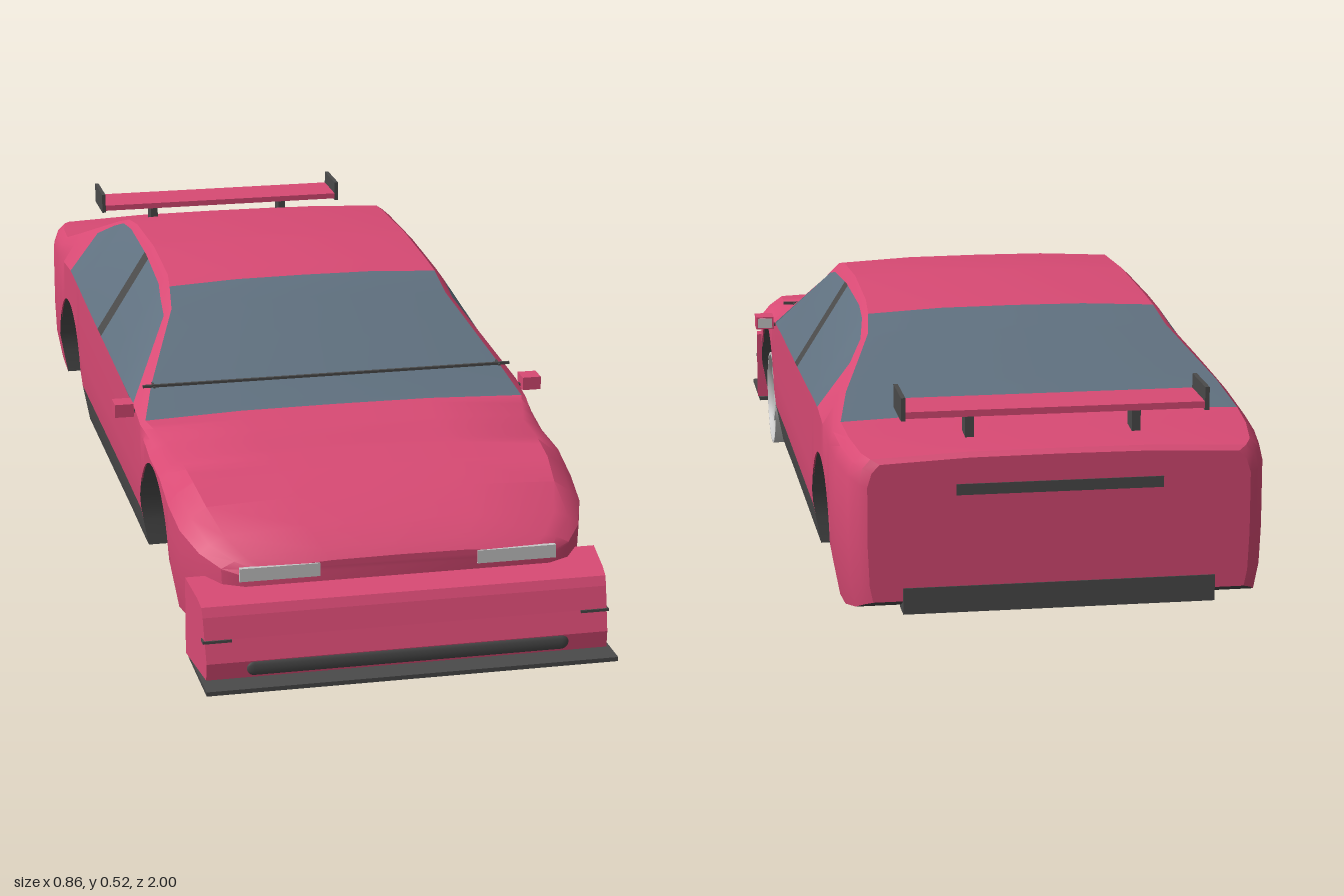
import * as THREE from 'three';
import { toCreasedNormals } from 'three/addons/utils/BufferGeometryUtils.js';

const material = (name, color) => {
  const m = new THREE.MeshStandardMaterial({ color });
  m.name = name;
  return m;
};

// Body stations: z, half width, top y, roof/hood edge x, window bottom y, window top y
const STATIONS = [
  [0.872, 0.285, 0.208, 0.25, 0.188, 0.198], [0.855, 0.325, 0.226, 0.28, 0.2, 0.212],
  [0.81, 0.357, 0.252, 0.31, 0.215, 0.23], [0.74, 0.38, 0.285, 0.33, 0.235, 0.257],
  [0.66, 0.387, 0.306, 0.34, 0.255, 0.278], [0.57, 0.388, 0.315, 0.345, 0.278, 0.292],
  [0.46, 0.388, 0.312, 0.35, 0.28, 0.293], [0.35, 0.388, 0.325, 0.377, 0.3, 0.31],
  [0.27, 0.388, 0.368, 0.352, 0.323, 0.326], [0.11, 0.387, 0.474, 0.282, 0.328, 0.453],
  [0.05, 0.387, 0.503, 0.275, 0.33, 0.475], [0, 0.387, 0.514, 0.27, 0.332, 0.487],
  [-0.18, 0.387, 0.524, 0.268, 0.338, 0.5], [-0.38, 0.387, 0.518, 0.27, 0.346, 0.5],
  [-0.46, 0.387, 0.508, 0.275, 0.35, 0.492], [-0.53, 0.387, 0.486, 0.284, 0.353, 0.468],
  [-0.59, 0.387, 0.462, 0.305, 0.355, 0.437], [-0.7, 0.387, 0.417, 0.345, 0.345, 0.385],
  [-0.79, 0.387, 0.384, 0.365, 0.335, 0.36], [-0.88, 0.385, 0.378, 0.36, 0.33, 0.355],
  [-0.96, 0.372, 0.37, 0.348, 0.322, 0.347], [-0.988, 0.357, 0.366, 0.335, 0.315, 0.342],
  [-0.998, 0.342, 0.358, 0.32, 0.31, 0.335],
];
const FLOOR = [[0.872, 0.12], [0.855, 0.1], [0.81, 0.07], [0.66, 0.055], [0.3, 0.052],
  [-0.5, 0.052], [-0.8, 0.055], [-0.9, 0.065], [-0.97, 0.085], [-0.998, 0.1]];
const ARCHES = [0.497, -0.628], ARCH_R = 0.168, ARCH_Y = 0.105;

// Linear lookup in a table sorted from front to back
function sample(table, z, col) {
  let i = 0;
  while (i < table.length - 2 && z < table[i + 1][0]) i++;
  const a = table[i], b = table[i + 1];
  const t = THREE.MathUtils.clamp((a[0] - z) / (a[0] - b[0]), 0, 1);
  return THREE.MathUtils.lerp(a[col], b[col], t);
}

function bottomY(z) {
  for (const c of ARCHES) {
    const d = ARCH_R * ARCH_R - (z - c) * (z - c);
    if (d >= -1e-9) return ARCH_Y + Math.sqrt(Math.max(d, 0));
  }
  return sample(FLOOR, z, 1);
}

// Half cross-section from the floor centre, up the side, to the roof centre
function section(z) {
  const [w, yt, ex, wb, wt] = [1, 2, 3, 4, 5].map((c) => sample(STATIONS, z, c));
  const yb = bottomY(z), ey = yt - 0.008;
  const tuck = 0.018 * (1 - Math.min(1, (yb - 0.05) / 0.1));
  const wx = THREE.MathUtils.lerp(w, ex, (wt - wb) / (ey - wb)) + 0.006;
  return [
    [0, yb], [w - tuck, yb], [w - 0.003, Math.max(yb, 0.13)],
    [w, Math.min(Math.max(yb, 0.2), wb - 0.004)], [w, wb], [Math.min(wx, w), wt],
    [ex, ey], [ex * 0.5, yt - 0.001], [0, yt],
  ].map(([x, y]) => new THREE.Vector3(x, y, z));
}

function buildShell(mats) {
  const zs = STATIONS.map((s) => s[0]).concat([-0.15, -0.197]);
  for (const c of ARCHES) {
    for (let i = 0; i <= 18; i++) zs.push(c + ARCH_R * Math.cos((i / 18) * Math.PI));
    zs.push(c + ARCH_R + 0.0005, c - ARCH_R - 0.0005);
  }
  const rings = zs.sort((a, b) => b - a).map(section);
  const tris = mats.map(() => []);
  const mirror = (p) => new THREE.Vector3(-p.x, p.y, p.z);
  const tri = (m, a, b, c) => {
    const area = b.clone().sub(a).cross(c.clone().sub(a)).length();
    if (area > 1e-9) for (const p of [a, b, c]) tris[m].push(p.x, p.y, p.z);
  };
  const quad = (m, a, b, c, d) => { tri(m, a, b, c); tri(m, a, c, d); };
  // 0 paint, 1 glass, 2 dark trim
  const colourOf = (row, z) => {
    if (row === 0) return 2;
    if (row === 1 && z < 0.33 && z > -0.46) return 2;
    if (row === 4 && z < 0.27 && z > -0.59) return z < -0.15 && z > -0.197 ? 2 : 1;
    if (row >= 6 && ((z < 0.35 && z > 0.05) || (z < -0.46 && z > -0.79))) return 1;
    return 0;
  };
  for (let j = 0; j < rings.length - 1; j++) {
    const f = rings[j], r = rings[j + 1];
    for (let i = 0; i < f.length - 1; i++) {
      const m = colourOf(i, (f[0].z + r[0].z) / 2);
      quad(m, f[i], r[i], r[i + 1], f[i + 1]);
      quad(m, mirror(f[i + 1]), mirror(r[i + 1]), mirror(r[i]), mirror(f[i]));
    }
  }
  // Nose and tail panels
  const nose = rings[0], tail = rings[rings.length - 1];
  for (let i = 0; i < nose.length - 1; i++) {
    quad(0, nose[i], nose[i + 1], mirror(nose[i + 1]), mirror(nose[i]));
    quad(0, mirror(tail[i]), mirror(tail[i + 1]), tail[i + 1], tail[i]);
  }
  let geo = new THREE.BufferGeometry();
  geo.setAttribute('position', new THREE.Float32BufferAttribute(tris.flat(), 3));
  geo = toCreasedNormals(geo, 0.5);
  geo.clearGroups();
  let start = 0;
  tris.forEach((t, m) => { geo.addGroup(start, t.length / 3, m); start += t.length / 3; });
  return geo;
}

export function createModel() {
  const car = new THREE.Group();
  car.name = 'car';
  const paint = material('pink paint', 0xd84a74);
  const glass = material('blue grey glass', 0x607180);
  const trim = material('dark grey trim', 0x4a4a4a);
  const silver = material('silver', 0xc8c8c8);
  silver.side = THREE.DoubleSide;

  const add = (name, geo, mat, x = 0, y = 0, z = 0, parent = car) => {
    const mesh = new THREE.Mesh(geo, mat);
    mesh.name = name;
    mesh.position.set(x, y, z);
    parent.add(mesh);
    return mesh;
  };
  const box = (name, mat, w, h, d, x, y, z) =>
    add(name, new THREE.BoxGeometry(w, h, d), mat, x, y, z);

  const shellMats = [paint, glass, trim];
  add('bodyShell', buildShell(shellMats), shellMats);

  // Front bumper: side profile swept across, narrowing forwards
  const profile = new THREE.Shape([
    [0.82, 0.028], [0.953, 0.028], [0.957, 0.06], [0.945, 0.1], [0.934, 0.14],
    [0.926, 0.157], [0.9, 0.165], [0.82, 0.175],
  ].map(([z, y]) => new THREE.Vector2(z, y)));
  const bumper = new THREE.ExtrudeGeometry(profile, { depth: 0.77, bevelEnabled: false });
  bumper.rotateY(-Math.PI / 2).translate(0.385, 0, 0);
  const pos = bumper.attributes.position;
  for (let i = 0; i < pos.count; i++) {
    pos.setX(i, pos.getX(i) * (1 - 0.25 * (pos.getZ(i) - 0.82)));
  }
  bumper.computeVertexNormals();
  add('frontBumper', bumper, paint);
  box('splitter', trim, 0.76, 0.008, 0.18, 0, 0.022, 0.91);
  const intake = new THREE.CapsuleGeometry(0.0135, 0.57, 6, 12);
  intake.rotateZ(Math.PI / 2).scale(1, 1, 0.3);
  add('lowerIntake', intake, trim, 0, 0.046, 0.956);

  // Mirrored side details
  for (const s of [1, -1]) {
    box('headlight', silver, 0.148, 0.025, 0.009, s * 0.221, 0.192, 0.871);
    box('bumperFin', trim, 0.053, 0.005, 0.02, s * 0.35, 0.098, 0.938);
    box('mirrorStalk', trim, 0.03, 0.006, 0.01, s * 0.388, 0.318, 0.285);
    box('mirror', paint, 0.037, 0.026, 0.04, s * 0.411, 0.325, 0.287);
    box('mirrorGlass', silver, 0.03, 0.02, 0.003, s * 0.411, 0.325, 0.2665);
    box('wiperArm', trim, 0.004, 0.004, 0.08, s * 0.348, 0.363, 0.25);
    box('wingSupport', trim, 0.016, 0.046, 0.04, s * 0.15, 0.396, -0.9);
    box('wingEndPlate', trim, 0.008, 0.042, 0.106, s * 0.272, 0.435, -0.897);
  }
  box('wiperBar', trim, 0.74, 0.005, 0.006, 0, 0.364, 0.282);
  box('rearWing', paint, 0.54, 0.012, 0.104, 0, 0.424, -0.897);
  box('rearSlot', trim, 0.37, 0.02, 0.004, 0, 0.3, -0.998);
  box('rearDiffuser', trim, 0.56, 0.048, 0.05, 0, 0.1, -0.975);

  // Single front wheel: open rim with five spokes
  const wheel = new THREE.Group();
  wheel.name = 'frontWheel';
  wheel.position.set(0.338, 0.104, 0.5);
  wheel.rotation.y = Math.PI / 2;
  car.add(wheel);
  const rimProfile = [[0.092, 0.036], [0.095, 0.042], [0.1, 0.042], [0.1, -0.042], [0.094, -0.042],
    [0.091, -0.03], [0.091, 0.03], [0.092, 0.036]].map(([r, y]) => new THREE.Vector2(r, y));
  const rim = toCreasedNormals(new THREE.LatheGeometry(rimProfile, 48), 0.5).rotateX(Math.PI / 2);
  add('rim', rim, silver, 0, 0, 0, wheel);
  add('hub', new THREE.CylinderGeometry(0.019, 0.022, 0.022, 20).rotateX(Math.PI / 2),
    silver, 0, 0, 0.024, wheel);
  const spokeShape = new THREE.Shape([[0.01, -0.011], [0.094, -0.007], [0.094, 0.007], [0.01, 0.011]]
    .map(([x, y]) => new THREE.Vector2(x, y)));
  const spokeGeo = new THREE.ExtrudeGeometry(spokeShape, { depth: 0.014, bevelEnabled: false });
  for (let i = 0; i < 5; i++) {
    const spoke = add('spoke', spokeGeo, silver, 0, 0, 0.018, wheel);
    spoke.rotation.z = (80 + i * 72) * Math.PI / 180;
  }
  return car;
}
